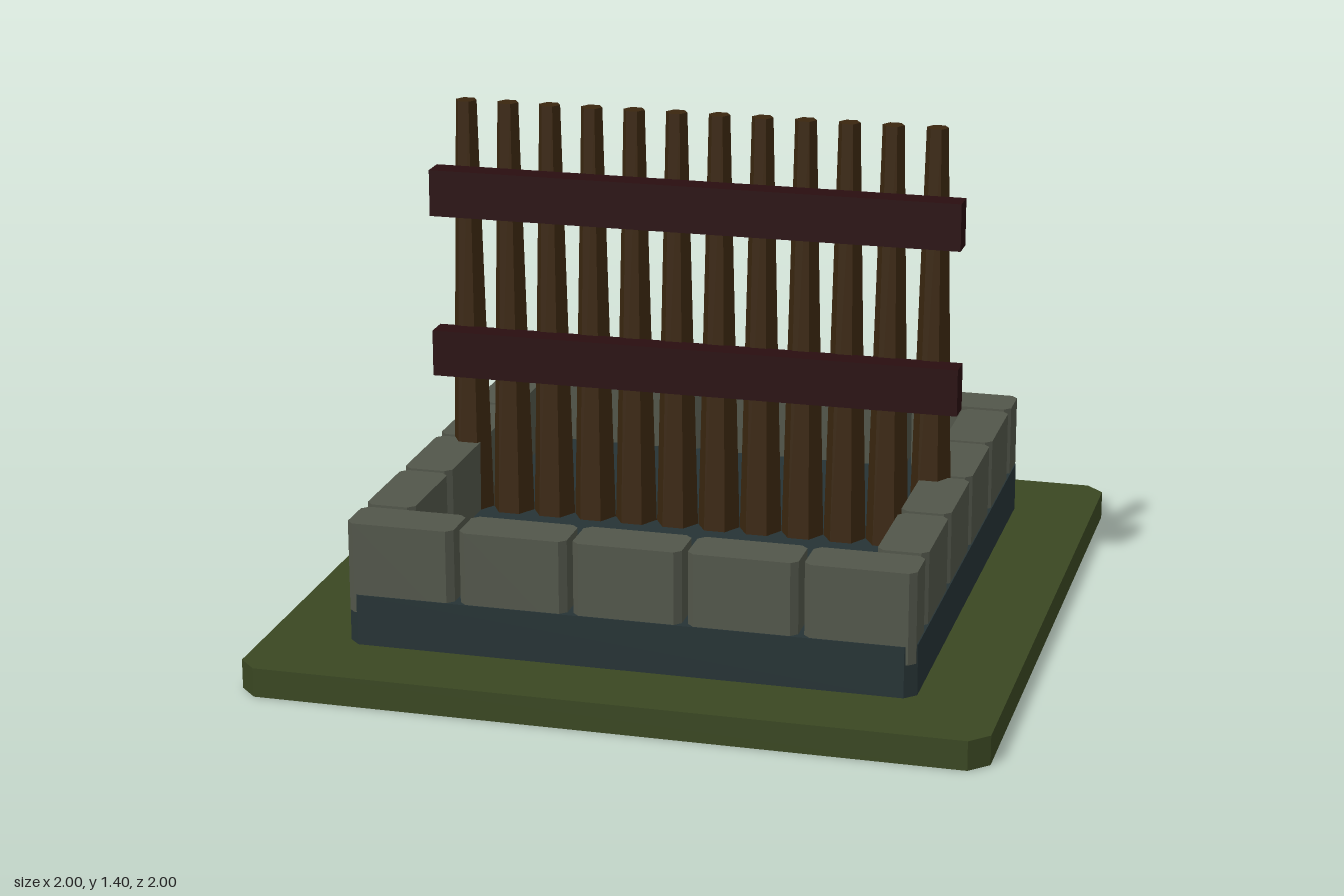
import * as THREE from 'three';

const material = (name, color) => {
  const m = new THREE.MeshStandardMaterial({ color });
  m.name = name;
  return m;
};

// Upright block with chamfered vertical edges, standing on y
function chamferedBlock(w, d, h, c, y) {
  const x = w / 2, z = d / 2;
  const outline = [
    [-x + c, -z], [x - c, -z], [x, -z + c], [x, z - c],
    [x - c, z], [-x + c, z], [-x, z - c], [-x, -z + c],
  ].map(([a, b]) => new THREE.Vector2(a, b));
  const geo = new THREE.ExtrudeGeometry(new THREE.Shape(outline), { depth: h, bevelEnabled: false });
  return geo.rotateX(-Math.PI / 2).translate(0, y, 0);
}

export function createModel() {
  const model = new THREE.Group();
  model.name = 'fencedStoneBase';
  const grass = material('mossGreen', 0x3a4722);
  const slate = material('slateBlue', 0x263335);
  const stone = material('stoneGrey', 0x52564a);
  const wood = material('stakeBrown', 0x3a260f);
  const darkWood = material('railDarkRed', 0x290e10);

  const add = (parent, name, geo, mat, x = 0, y = 0, z = 0) => {
    const mesh = new THREE.Mesh(geo, mat);
    mesh.name = name;
    mesh.position.set(x, y, z);
    parent.add(mesh);
  };
  const group = (name) => {
    const g = new THREE.Group();
    g.name = name;
    model.add(g);
    return g;
  };

  // Ground slab and plinth
  add(model, 'groundSlab', chamferedBlock(2, 2, 0.08, 0.05, 0), grass);
  add(model, 'plinth', chamferedBlock(1.54, 1.54, 0.14, 0.03, 0.08), slate);

  // Ring of stones: five along front and back, four along each side
  const wall = group('stoneWall');
  const longStone = chamferedBlock(0.294, 0.136, 0.25, 0.018, 0.17);
  const sideStone = chamferedBlock(0.136, 0.294, 0.25, 0.018, 0.17);
  for (const s of [-1, 1]) {
    for (let i = 0; i < 5; i++) add(wall, 'endStone', longStone, stone, (i - 2) * 0.31, 0, s * 0.699);
    for (let i = 0; i < 4; i++) add(wall, 'sideStone', sideStone, stone, s * 0.699, 0, (i - 1.5) * 0.31);
  }

  // Row of tapered six-sided stakes
  const fence = group('fence');
  const stakeGeo = new THREE.CylinderGeometry(0.03, 0.06, 1.2, 6)
    .rotateY(Math.PI / 6).toNonIndexed();
  stakeGeo.computeVertexNormals();
  for (let i = 0; i < 12; i++) add(fence, 'stake', stakeGeo, wood, -0.665 + i * 0.12, 0.8, 0);

  // Two rails across the front of the stakes
  const railGeo = new THREE.BoxGeometry(1.485, 0.13, 0.07);
  for (const y of [0.695, 1.155]) add(fence, 'rail', railGeo, darkWood, 0, y, 0.07);

  return model;
}
